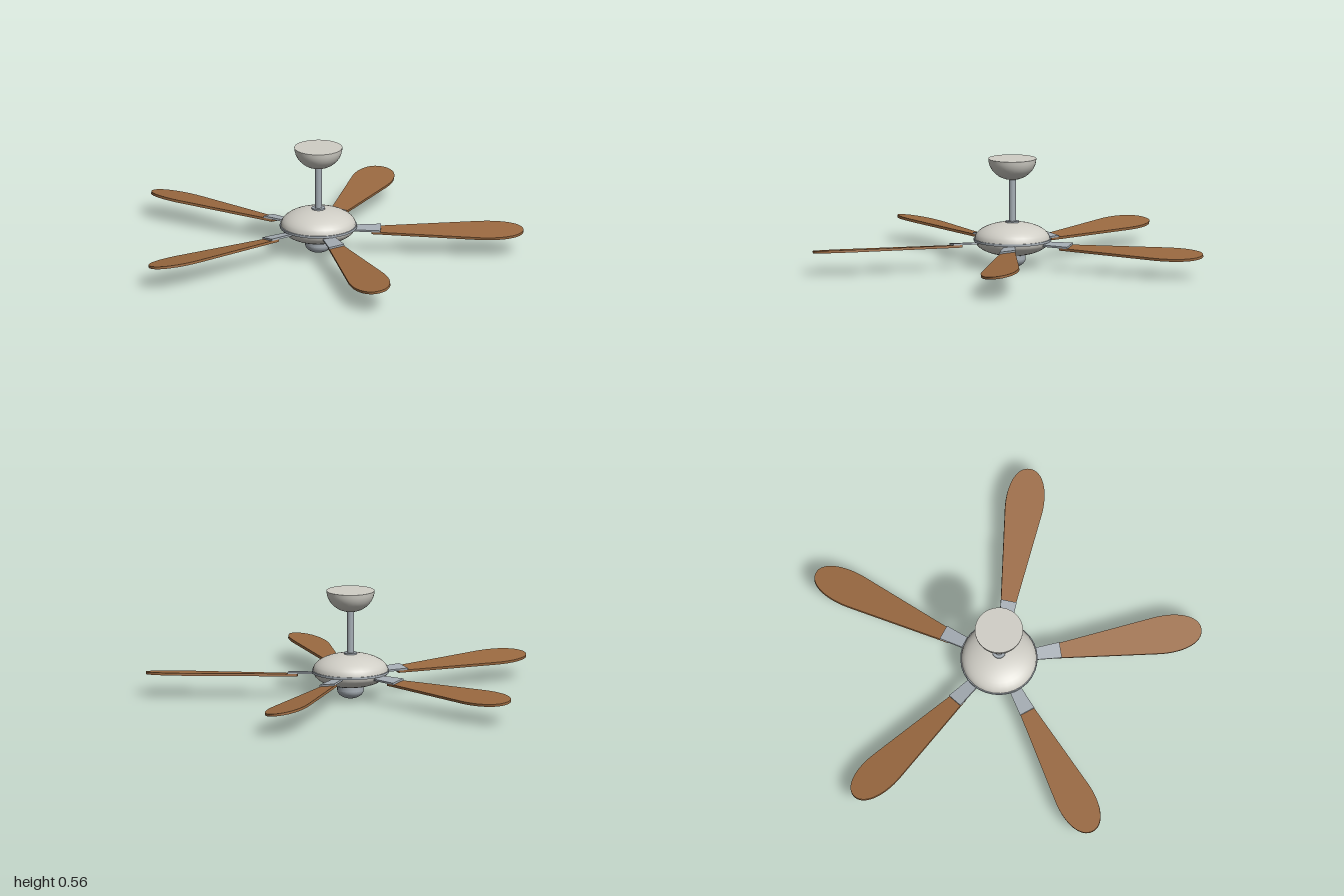
import * as THREE from 'three';

const SEGMENTS = 32;

export function createModel() {
  const fan = new THREE.Group();
  fan.name = 'ceilingFan';

  const material = (name, color) => {
    const m = new THREE.MeshStandardMaterial({ color });
    m.name = name;
    return m;
  };
  const shell = material('warmGreyShell', 0xd0cec6);
  const metal = material('blueGreyMetal', 0xa6aeb5);
  const wood = material('brownWood', 0x9a6940);

  const add = (parent, name, geometry, mat, y = 0) => {
    const mesh = new THREE.Mesh(geometry, mat);
    mesh.name = name;
    mesh.position.y = y;
    parent.add(mesh);
    return mesh;
  };

  // Quarter-ellipse bowl, open side at y = 0; dir +1 domes up, -1 down
  const dome = (radius, height, dir, steps = 10) => {
    const points = [];
    for (let i = 0; i <= steps; i++) {
      const a = (i / steps) * Math.PI / 2;
      points.push(new THREE.Vector2(radius * Math.cos(a), dir * height * Math.sin(a)));
    }
    if (dir < 0) points.reverse();
    return new THREE.LatheGeometry(points, SEGMENTS);
  };

  // Ceiling canopy with a flat lid
  add(fan, 'canopy', dome(0.123, 0.11, -1), shell, 0.56);
  add(fan, 'canopyLid', new THREE.CircleGeometry(0.123, SEGMENTS).rotateX(-Math.PI / 2), shell, 0.56);

  // Down rod and its collar
  add(fan, 'downRod', new THREE.CylinderGeometry(0.018, 0.018, 0.26, 20), metal, 0.34);
  add(fan, 'rodCollar', new THREE.CylinderGeometry(0.034, 0.034, 0.022, 24), metal, 0.227);

  // Motor housing: two domes around a rim
  add(fan, 'motorTop', dome(0.192, 0.085, 1), shell, 0.147);
  add(fan, 'motorRim', new THREE.CylinderGeometry(0.197, 0.197, 0.012, SEGMENTS), metal, 0.141);
  add(fan, 'motorBottom', dome(0.188, 0.075, -1), shell, 0.136);

  // Light cup below the motor
  add(fan, 'lightCollar', new THREE.CylinderGeometry(0.068, 0.068, 0.04, 24), metal, 0.062);
  add(fan, 'lightBowl', dome(0.068, 0.043, -1, 8), metal, 0.043);

  // Flat plate lying in xz, centred on y = 0
  const plate = (shape, thickness) => new THREE.ExtrudeGeometry(shape, {
    depth: thickness, bevelEnabled: false, curveSegments: 16,
  }).translate(0, 0, -thickness / 2).rotateX(-Math.PI / 2);

  // Blade: straight taper from the root into a rounded tip
  const outline = new THREE.Shape();
  outline.moveTo(0.27, -0.034);
  outline.lineTo(0.81, -0.095);
  outline.bezierCurveTo(0.94, -0.109, 1.045, -0.07, 1.045, 0);
  outline.bezierCurveTo(1.045, 0.07, 0.94, 0.109, 0.81, 0.095);
  outline.lineTo(0.27, 0.034);
  outline.closePath();
  const bladeGeometry = plate(outline, 0.013);

  // Bracket: widens from the motor to the blade
  const arm = new THREE.Shape();
  arm.moveTo(0.15, -0.028);
  arm.lineTo(0.318, -0.041);
  arm.lineTo(0.318, 0.041);
  arm.lineTo(0.15, 0.028);
  arm.closePath();
  const armGeometry = plate(arm, 0.01);

  // Five pitched blades around the motor
  for (let i = 0; i < 5; i++) {
    const spoke = new THREE.Group();
    spoke.name = `bladeAssembly${i + 1}`;
    spoke.rotation.y = (i * Math.PI * 2) / 5;
    const pitched = new THREE.Group();
    pitched.name = 'pitchedBlade';
    pitched.position.y = 0.117;
    pitched.rotation.x = 0.14;
    add(pitched, 'blade', bladeGeometry, wood);
    add(pitched, 'bladeBracket', armGeometry, metal, 0.0112);
    spoke.add(pitched);
    fan.add(spoke);
  }

  // Centre the spread of the blades on x = 0
  fan.position.x = -0.095;
  const model = new THREE.Group();
  model.name = 'model';
  model.add(fan);
  return model;
}
